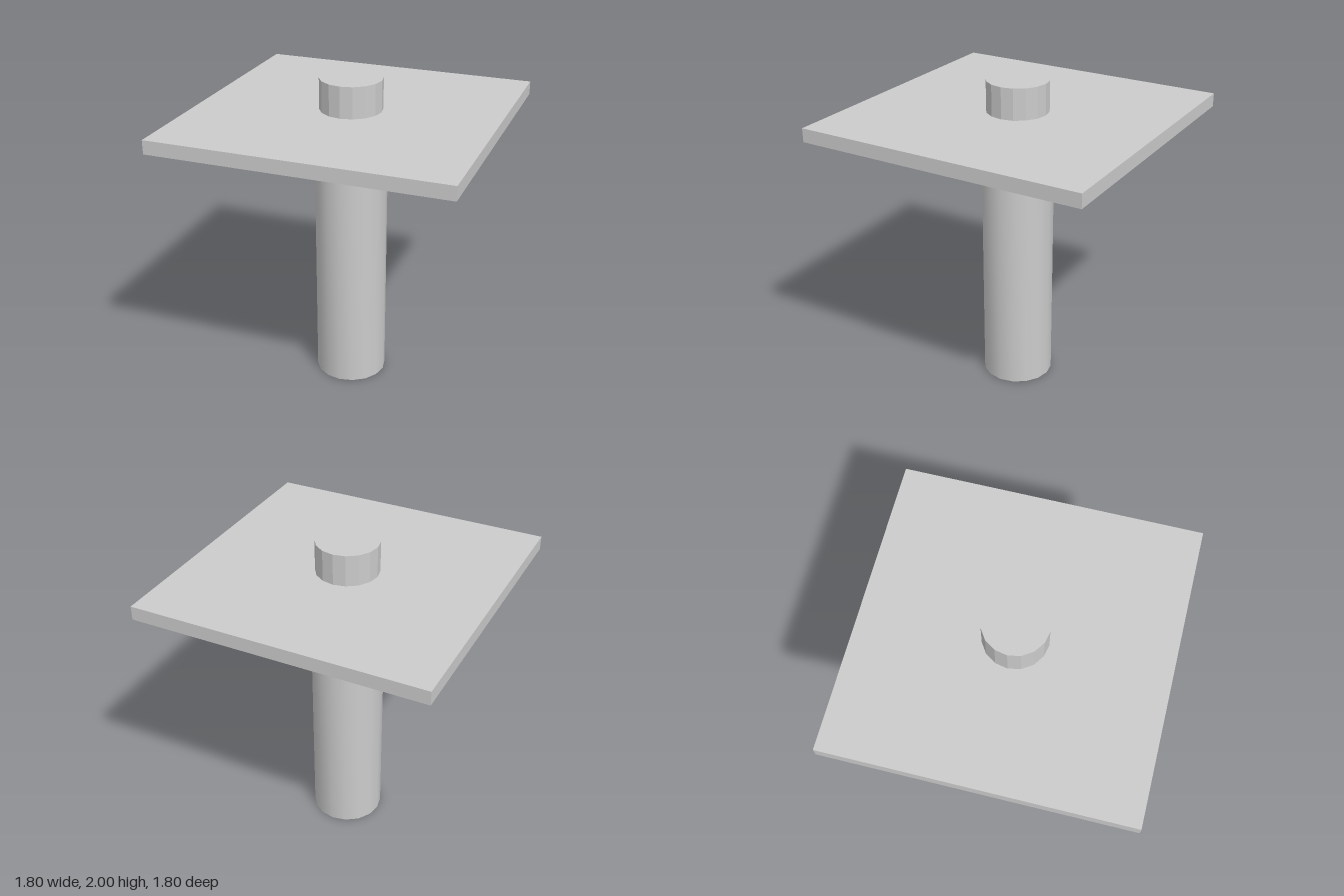
import * as THREE from 'three';
import { toCreasedNormals } from 'three/addons/utils/BufferGeometryUtils.js';

const SIDES = 16;
const PLATE_BOTTOM = 1.72;
const PLATE_TOP = 1.805;
const TOP = 2;

export function createModel() {
  const group = new THREE.Group();

  function add(name, geometry, y, flatShading = false) {
    const material = new THREE.MeshStandardMaterial({ color: 0xcccccc, flatShading });
    const mesh = new THREE.Mesh(geometry, material);
    mesh.name = name;
    mesh.position.y = y;
    group.add(mesh);
  }

  // Hollow round column, open at the foot: bore, rim, outer wall
  const outer = 0.225, bore = 0.157;
  const profile = [
    new THREE.Vector2(bore, PLATE_BOTTOM),
    new THREE.Vector2(bore, 0),
    new THREE.Vector2(outer, 0),
    new THREE.Vector2(outer, PLATE_BOTTOM),
  ];
  add('column', toCreasedNormals(new THREE.LatheGeometry(profile, SIDES), 0.6), 0);

  // Square plate on top of the column
  const thickness = PLATE_TOP - PLATE_BOTTOM;
  add('plate', new THREE.BoxGeometry(1.8, thickness, 1.8), PLATE_BOTTOM + thickness / 2, true);

  // Short faceted peg standing on the plate
  const pegHeight = TOP - PLATE_TOP;
  add('peg', new THREE.CylinderGeometry(0.193, 0.193, pegHeight, SIDES), PLATE_TOP + pegHeight / 2, true);

  return group;
}
